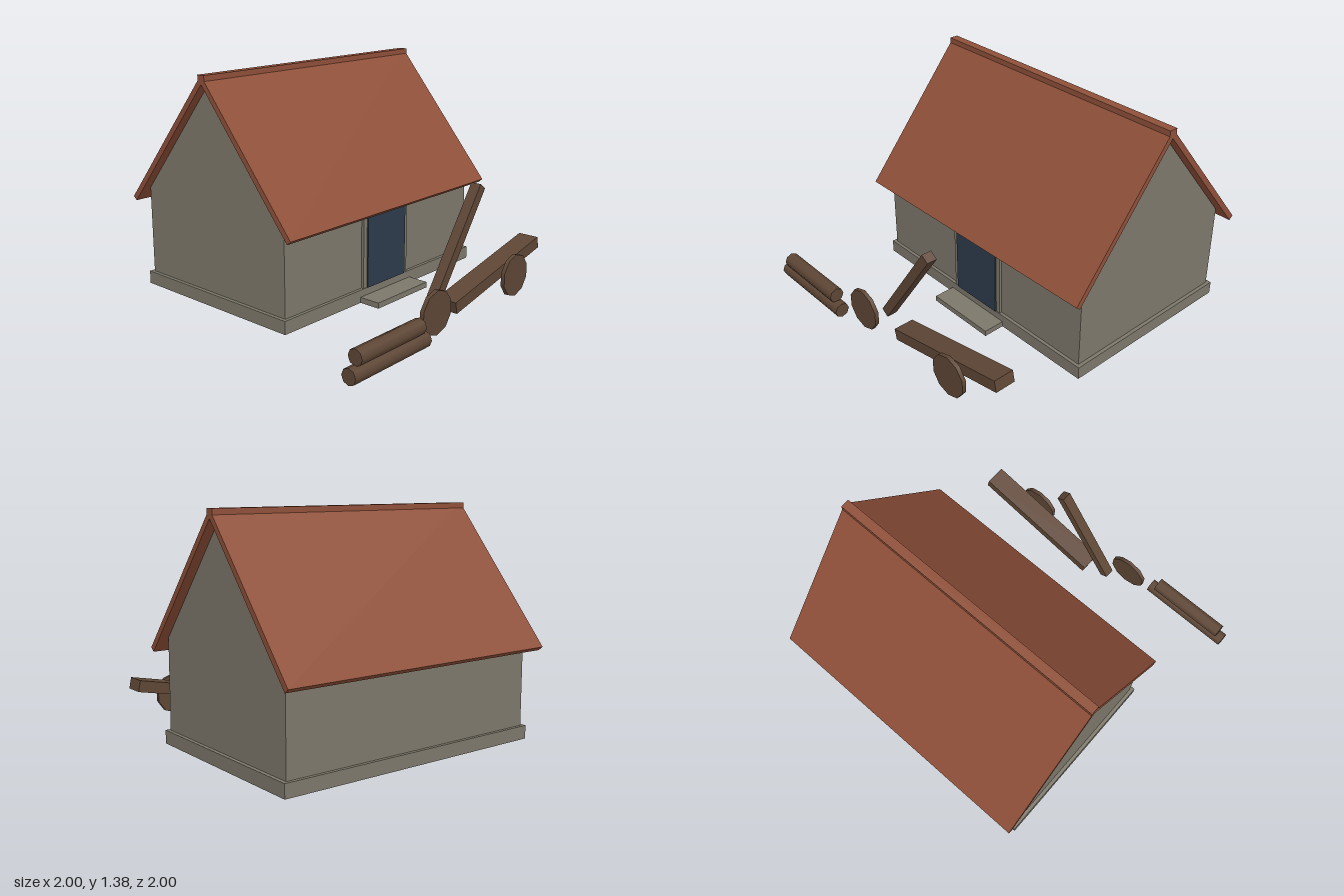
import * as THREE from 'three';

const mat = (name, color) => {
  const m = new THREE.MeshStandardMaterial({ color });
  m.name = name;
  return m;
};

export function createModel() {
  const model = new THREE.Group();
  model.name = 'cottage';
  const stone = mat('stone', 0x7d786b);
  const tile = mat('roofTile', 0x8f5039);
  const wood = mat('wood', 0x5e4635);
  const blue = mat('doorBlue', 0x2e3b4d);

  const add = (parent, name, geometry, material, x = 0, y = 0, z = 0) => {
    const m = new THREE.Mesh(geometry, material);
    m.name = name;
    m.position.set(x, y, z);
    parent.add(m);
    return m;
  };
  const box = (parent, name, material, w, h, d, x, y, z) =>
    add(parent, name, new THREE.BoxGeometry(w, h, d), material, x, y, z);

  // Extrudes a (z, y) profile along x, centred on x = 0
  const alongX = (points, length) => {
    const shape = new THREE.Shape(points.map(([z, y]) => new THREE.Vector2(-z, y)));
    return new THREE.ExtrudeGeometry(shape, { depth: length, bevelEnabled: false })
      .translate(0, 0, -length / 2)
      .rotateY(Math.PI / 2);
  };

  // House, with its ridge over the group's x axis
  const house = new THREE.Group();
  house.name = 'house';
  house.position.set(0.099, 0, -0.315);
  model.add(house);
  box(house, 'foundation', stone, 1.735, 0.08, 1.205, -0.002, 0.04, 0);
  add(house, 'gabledWalls', alongX(
    [[0.582, 0.08], [0.582, 0.622], [0, 1.318], [-0.582, 0.622], [-0.582, 0.08]], 1.69), stone, -0.002);
  add(house, 'roof', alongX(
    [[0.685, 0.56], [0, 1.375], [-0.685, 0.56], [-0.658, 0.5375], [0, 1.3225], [0.658, 0.5375]], 1.8), tile);
  box(house, 'ridgeCap', tile, 1.8, 0.055, 0.055, 0, 1.348, 0);

  // Doorway
  const doorway = new THREE.Group();
  doorway.name = 'doorway';
  doorway.position.x = 0.097;
  model.add(doorway);
  box(doorway, 'door', blue, 0.35, 0.5, 0.035, 0, 0.33, 0.276);
  for (const side of [-1, 1]) {
    box(doorway, 'doorJamb', stone, 0.03, 0.52, 0.03, side * 0.19, 0.34, 0.269);
  }
  box(doorway, 'doorstep', stone, 0.47, 0.035, 0.145, 0, 0.0175, 0.352);

  // Loose timber beams
  const leaning = box(model, 'leaningBeam', wood, 0.733, 0.058, 0.064, 0.095, 0.428, 0.795);
  leaning.rotation.z = THREE.MathUtils.degToRad(55);
  const fallen = box(model, 'fallenBeam', wood, 0.895, 0.072, 0.13, 0.468, 0.16, 0.795);
  fallen.rotation.z = THREE.MathUtils.degToRad(11.7);

  // Wooden discs standing on edge
  for (const x of [-0.222, 0.573]) {
    const disc = add(model, 'woodenDisc', new THREE.CylinderGeometry(0.131, 0.131, 0.025, 10),
      wood, x, 0.133, 0.898);
    disc.rotation.x = Math.PI / 2;
  }

  // Stacked logs
  for (const [length, x, y] of [[0.61, -0.695, 0.054], [0.515, -0.695, 0.14]]) {
    const log = add(model, 'log', new THREE.CylinderGeometry(0.047, 0.047, length, 8), wood, x, y, 0.953);
    log.rotation.z = Math.PI / 2;
  }
  return model;
}
